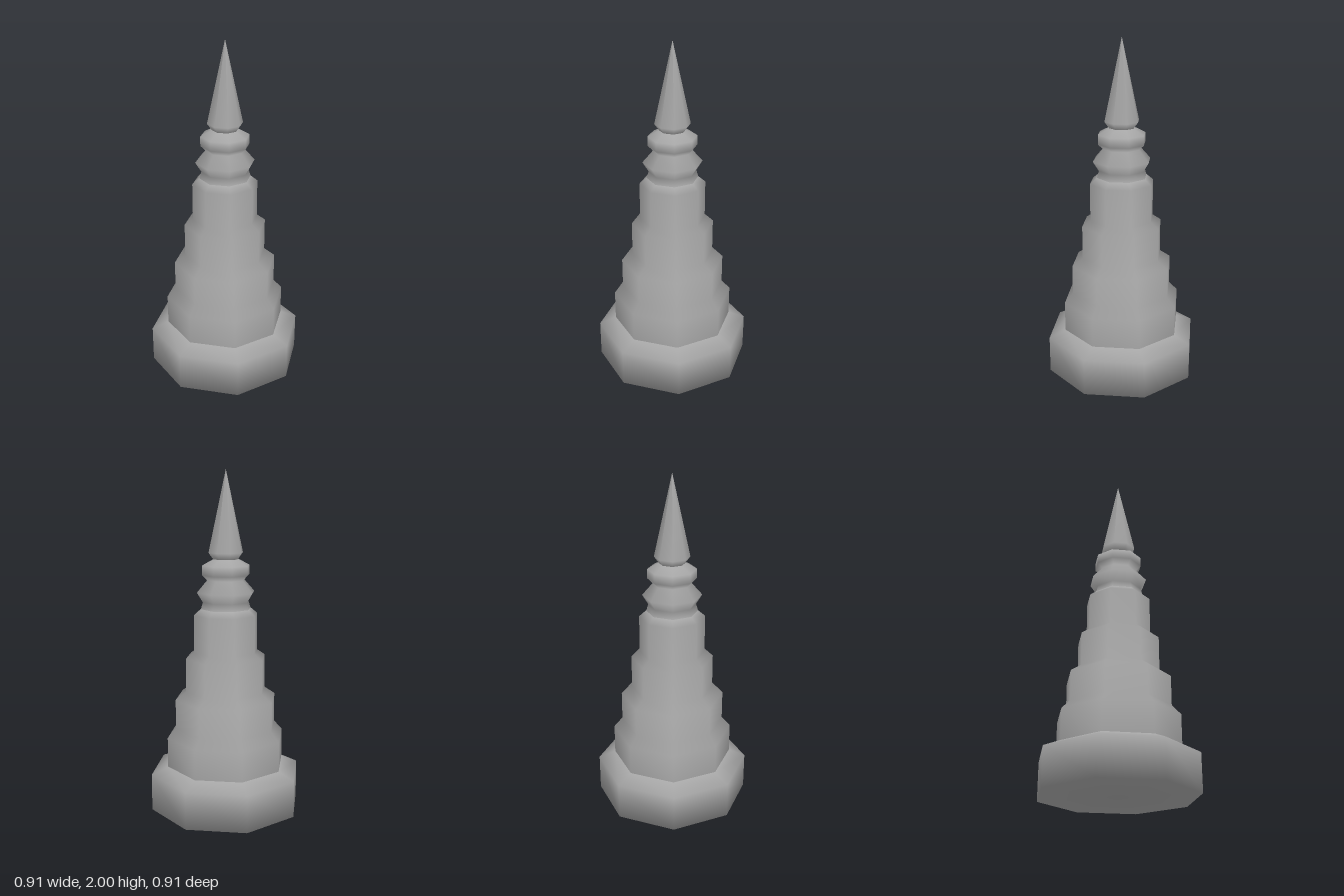
import * as THREE from 'three';

export function createModel() {
  const model = new THREE.Group();
  model.name = 'tieredTower';
  const stone = new THREE.MeshStandardMaterial({ color: 0xa6a6a6 });
  stone.name = 'grey stone';

  // Eight-sided turned part from [radius, height] pairs, bottom to top
  function turned(name, profile) {
    const points = profile.map(([r, y]) => new THREE.Vector2(r, y));
    const mesh = new THREE.Mesh(new THREE.LatheGeometry(points, 8), stone);
    mesh.name = name;
    model.add(mesh);
  }

  // Wide plinth with closed underside and sloped shoulder
  turned('base', [[0, 0], [0.457, 0], [0.457, 0.22], [0.357, 0.262]]);

  // Four stepped tiers, each with a chamfered shoulder
  turned('tiers', [
    [0.357, 0.262], [0.357, 0.44], [0.306, 0.495], [0.306, 0.67],
    [0.242, 0.715], [0.242, 0.915], [0.192, 0.95], [0.192, 1.17], [0.15, 1.205],
  ]);

  // Two bulging collars under the spire
  turned('collars', [
    [0.15, 1.205], [0.138, 1.245], [0.173, 1.302], [0.112, 1.372],
    [0.142, 1.402], [0.142, 1.457], [0.075, 1.492],
  ]);

  // Pointed spire with flared foot
  turned('spire', [[0.075, 1.492], [0.103, 1.53], [0, 2]]);

  return model;
}
